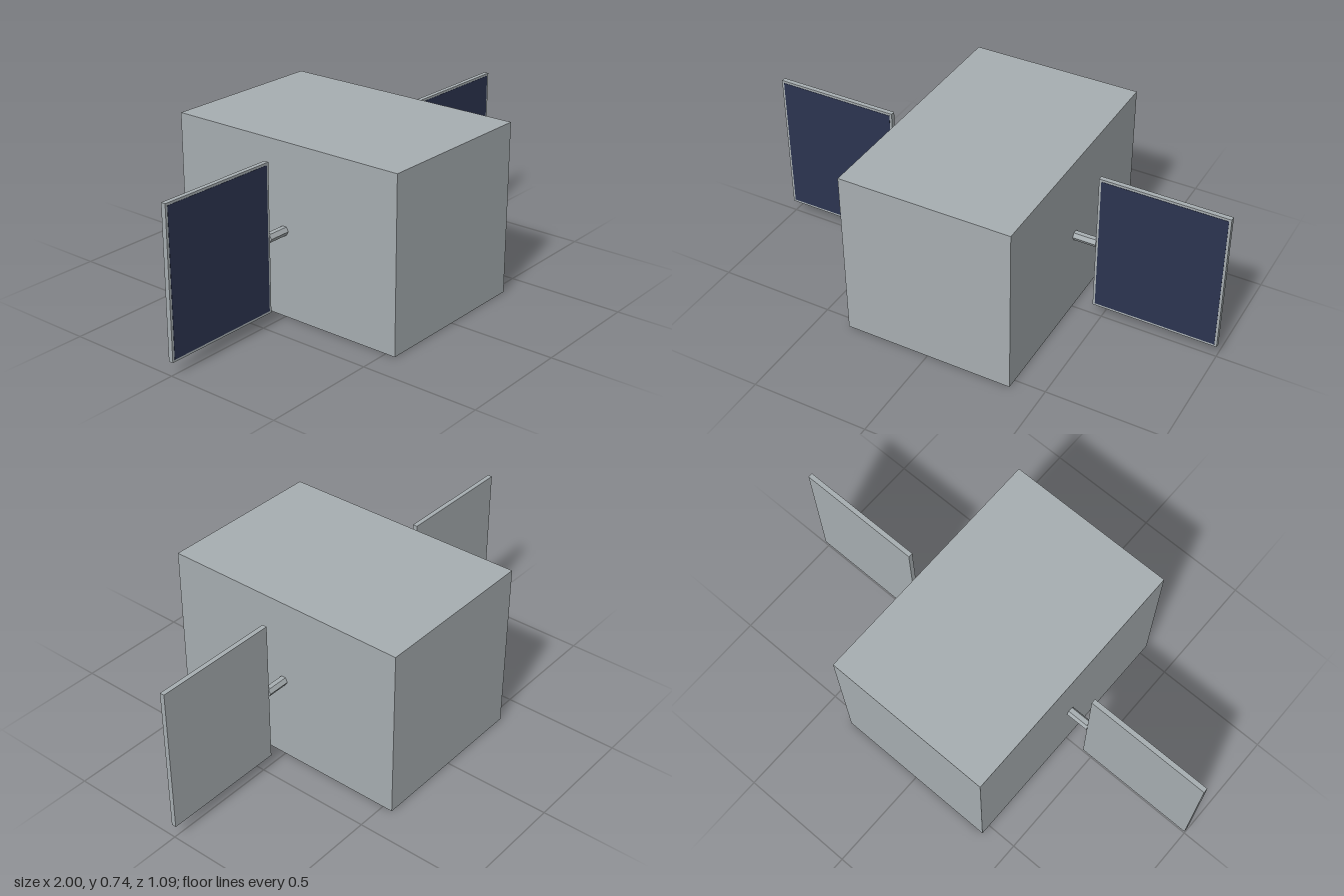
import * as THREE from 'three';

const grey = new THREE.MeshStandardMaterial({ color: 0xa7aeb1, flatShading: true });
grey.name = 'hull grey';
const navy = new THREE.MeshStandardMaterial({ color: 0x2c3450 });
navy.name = 'solar cell navy';

const MID_Y = 0.37;

function part(parent, name, geometry, material, x, y, z) {
  const mesh = new THREE.Mesh(geometry, material);
  mesh.name = name;
  mesh.position.set(x, y, z);
  parent.add(mesh);
  return mesh;
}

export function createModel() {
  const model = new THREE.Group();
  model.name = 'satellite';

  // Main box hull
  part(model, 'body', new THREE.BoxGeometry(0.734, 0.736, 1.086), grey, 0, 0.368, 0);

  // One solar wing on each side
  for (const side of [1, -1]) {
    const wing = new THREE.Group();
    wing.name = side > 0 ? 'leftWing' : 'rightWing';

    // Six-sided arm, with corners pointing to front and back
    const arm = part(wing, 'arm', new THREE.CylinderGeometry(0.02, 0.02, 0.1, 6), grey, side * 0.415, MID_Y, 0);
    arm.rotation.z = Math.PI / 2;

    // Panel slab with dark cells on the front only
    part(wing, 'panel', new THREE.BoxGeometry(0.537, 0.626, 0.02), grey, side * 0.7315, MID_Y, 0);
    part(wing, 'solarCells', new THREE.BoxGeometry(0.517, 0.606, 0.002), navy, side * 0.7315, MID_Y, 0.01);
    model.add(wing);
  }
  return model;
}
